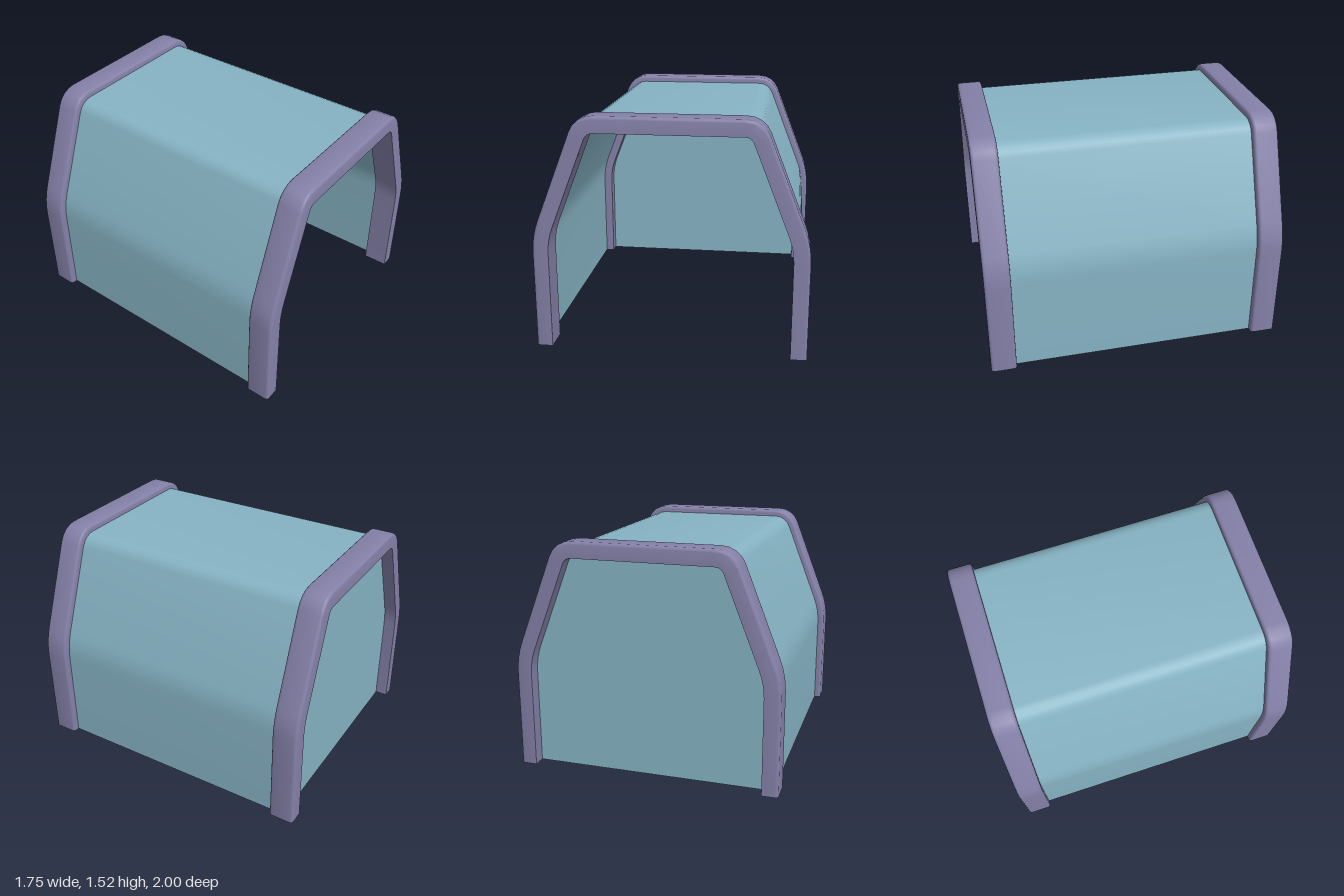
import * as THREE from 'three';
import { toCreasedNormals } from 'three/addons/utils/BufferGeometryUtils.js';

const ARCH_Z = 0.915, HALF_DEPTH = 0.085, HALF_THICK = 0.0525;

// Arch outline from the right foot over the top to the left foot, offset outwards by d
function archPath(d) {
  const half = [[0.8225 + d, 0]];
  const lean = 1.196; // angle of the sloping side above the shoulder turn
  const turn = Math.PI / 2 - lean;
  const fillet = (cx, cy, r, from, to, n) => {
    for (let i = 0; i <= n; i++) {
      const a = from + (to - from) * i / n;
      half.push([cx + (r + d) * Math.cos(a), cy + (r + d) * Math.sin(a)]);
    }
  };
  fillet(0.8225 - 0.527, 0.638, 0.527, 0, turn, 4); // shoulder
  fillet(0.461, 1.4725 - 0.108, 0.108, turn, Math.PI / 2, 4); // roof corner
  return [...half, ...half.slice().reverse().map(([x, y]) => [-x, y])];
}

// Surface running along the arch through a list of [offset, z] section points
function sweep(section) {
  const rows = section.map(([d, z]) => archPath(d).map(([x, y]) => [x, y, z]));
  const n = rows[0].length, pos = rows.flat(2), index = [];
  for (let j = 0; j < rows.length - 1; j++) {
    for (let i = 0; i < n - 1; i++) {
      const a = j * n + i, b = a + n;
      index.push(a, b, a + 1, b, b + 1, a + 1);
    }
  }
  const g = new THREE.BufferGeometry();
  g.setAttribute('position', new THREE.Float32BufferAttribute(pos, 3));
  g.setIndex(index);
  return toCreasedNormals(g, 0.6);
}

export function createModel() {
  const group = new THREE.Group();
  const frameMat = new THREE.MeshStandardMaterial({ color: 0x8480a8, side: THREE.DoubleSide });
  const coverMat = new THREE.MeshStandardMaterial({ color: 0x86b3c4, side: THREE.DoubleSide });
  const add = (name, geometry, material) => {
    const mesh = new THREE.Mesh(geometry, material);
    mesh.name = name;
    group.add(mesh);
    return mesh;
  };

  // Hollow bar section: square on the inside, rounded on the outside
  const r = 0.02, section = [[-HALF_THICK, HALF_DEPTH]];
  for (const side of [1, -1]) {
    for (let i = 0; i <= 3; i++) {
      const a = (side > 0 ? i : 3 - i) * Math.PI / 6;
      section.push([HALF_THICK - r + r * Math.sin(a), side * (HALF_DEPTH - r + r * Math.cos(a))]);
    }
  }
  section.push([-HALF_THICK, -HALF_DEPTH], [-HALF_THICK, HALF_DEPTH]);

  // Two end arches
  const bar = sweep(section);
  add('frontArch', bar, frameMat).position.z = ARCH_Z;
  add('backArch', bar, frameMat).position.z = -ARCH_Z;

  // Thin cover between the arches, ending inside them
  add('cover', sweep([[0.0075, ARCH_Z], [0.0075, -ARCH_Z]]), coverMat);

  // Closed back wall; the front stays open
  const outline = new THREE.Shape(archPath(0.0075).map(([x, y]) => new THREE.Vector2(x, y)));
  add('backWall', new THREE.ShapeGeometry(outline), coverMat).position.z = -ARCH_Z;

  return group;
}
